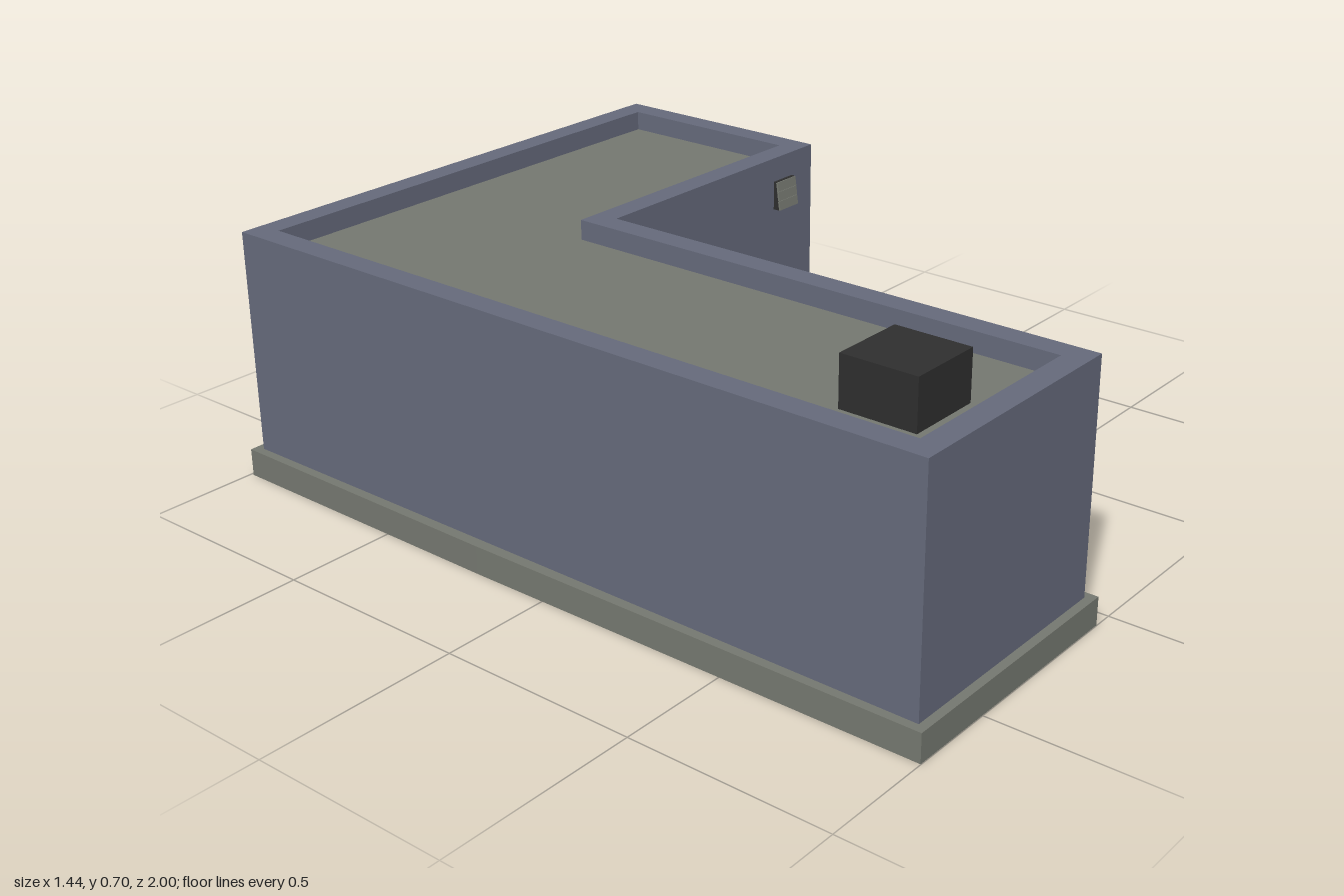
import * as THREE from 'three';

const wallPaint = new THREE.MeshStandardMaterial({ name: 'wallPaint', color: 0x65697a });
const concrete = new THREE.MeshStandardMaterial({ name: 'concrete', color: 0x74776f });
const darkMetal = new THREE.MeshStandardMaterial({ name: 'darkMetal', color: 0x2e2e2e });

// L-shaped outline, grown (positive) or shrunk (negative) from the wall line; points are [x, z]
function lPoints(d) {
  const l = -0.695 - d, r = 0.7 + d, back = -0.97 - d, front = 0.977 + d;
  const armX = -0.072 + d, armZ = -0.347 + d;
  return [[l, front], [armX, front], [armX, armZ], [r, armZ], [r, back], [l, back]];
}
const toVectors = (points) => points.map(([x, z]) => new THREE.Vector2(x, -z));

function addMesh(group, name, geometry, material) {
  const mesh = new THREE.Mesh(geometry, material);
  mesh.name = name;
  group.add(mesh);
  return mesh;
}

// Floor-plan shape raised from y0 to y1
function raise(shape, y0, y1) {
  return new THREE.ExtrudeGeometry(shape, { depth: y1 - y0, bevelEnabled: false })
    .rotateX(-Math.PI / 2).translate(0, y0, 0);
}

export function createModel() {
  const model = new THREE.Group();
  model.name = 'lShapedBuilding';

  // Foundation, with slightly bowed back and left edges
  const basePoints = lPoints(0.022);
  basePoints.push([-0.723, -0.2], [-0.72, 0.3]);
  basePoints.splice(5, 0, [0.37, -0.996], [-0.08, -1], [-0.45, -0.996]);
  addMesh(model, 'foundation', raise(new THREE.Shape(toVectors(basePoints)), 0, 0.07), concrete);

  // Walls with parapet
  const wallShape = new THREE.Shape(toVectors(lPoints(0)));
  wallShape.holes.push(new THREE.Path(toVectors(lPoints(-0.06))));
  addMesh(model, 'walls', raise(wallShape, 0.07, 0.635), wallPaint);

  // Sunken flat roof
  const roofShape = new THREE.Shape(toVectors(lPoints(-0.06)));
  addMesh(model, 'roof', raise(roofShape, 0.56, 0.585), concrete);

  // Rooftop unit
  addMesh(model, 'rooftopUnit', new THREE.BoxGeometry(0.187, 0.12, 0.187), darkMetal)
    .position.set(-0.442, 0.645, 0.75);

  // Wall vent: sloping dark housing with three louvres
  const vent = new THREE.Group();
  vent.name = 'wallVent';
  const profile = new THREE.Shape([[0, 0], [0.018, 0], [0.008, 0.076], [0, 0.076]]
    .map(([z, y]) => new THREE.Vector2(-z, y)));
  const housing = new THREE.ExtrudeGeometry(profile, { depth: 0.076, bevelEnabled: false })
    .rotateY(Math.PI / 2);
  addMesh(vent, 'ventHousing', housing, darkMetal);
  for (let i = 0; i < 3; i++) {
    const slat = addMesh(vent, 'ventLouvre', new THREE.BoxGeometry(0.076, 0.024, 0.005), concrete);
    slat.position.set(0.038, 0.013 + i * 0.025, 0.0185 - i * 0.0033);
    slat.rotation.x = -0.16;
  }
  vent.position.set(0.54, 0.495, -0.347);
  model.add(vent);

  return model;
}
